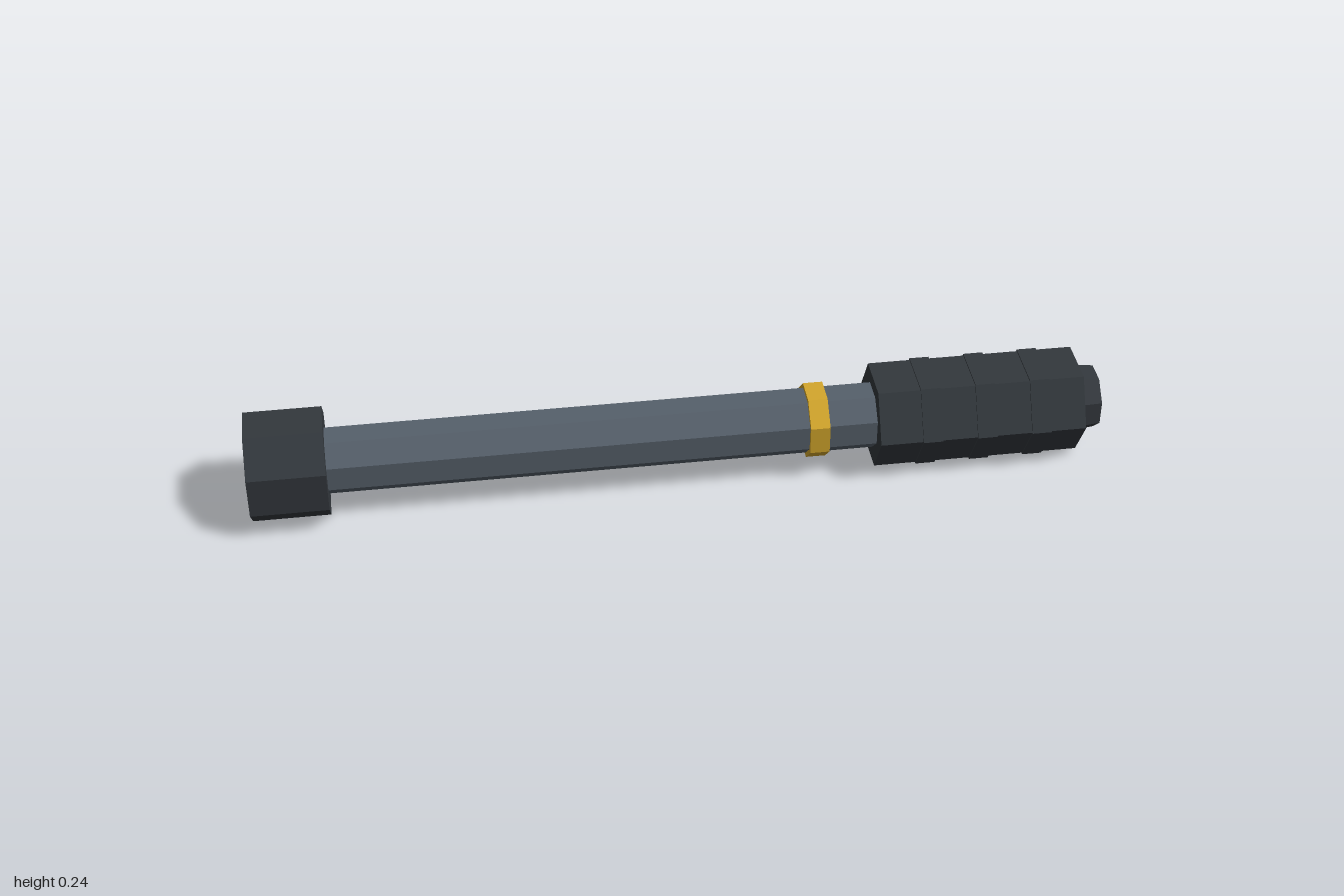
import * as THREE from 'three';

const AXIS_Y = 0.12;

export function createModel() {
  const model = new THREE.Group();
  model.name = 'baton';

  const makeMaterial = (name, color) => {
    const m = new THREE.MeshStandardMaterial({ color, flatShading: true });
    m.name = name;
    return m;
  };
  const steel = makeMaterial('blue grey steel', 0x56606b);
  const dark = makeMaterial('charcoal', 0x33383d);
  const gold = makeMaterial('gold', 0xd4a72c);

  // Prism along x from x0 to x1; rotated half a step when a flat should face up
  function prism(name, material, sides, x0, x1, r0, r1 = r0) {
    const start = sides === 8 ? Math.PI / 8 : 0;
    const g = new THREE.CylinderGeometry(r1, r0, x1 - x0, sides, 1, false, start);
    g.rotateZ(-Math.PI / 2);
    const mesh = new THREE.Mesh(g, material);
    mesh.name = name;
    mesh.position.set((x0 + x1) / 2, AXIS_Y, 0);
    model.add(mesh);
  }

  // Octagonal end weight, shaft and collar
  prism('endWeight', dark, 8, -1, -0.82, 0.13);
  prism('shaft', steel, 8, -0.83, 0.47, 0.079);
  prism('collar', gold, 8, 0.3, 0.346, 0.09);

  // Hexagonal grip with three raised ridges
  prism('grip', dark, 6, 0.46, 0.95, 0.122);
  for (const x of [0.583, 0.713, 0.843]) {
    prism('gripRidge', dark, 6, x - 0.023, x + 0.023, 0.126);
  }

  // Tapered pommel
  prism('pommel', dark, 8, 0.945, 1, 0.081, 0.075);

  return model;
}
